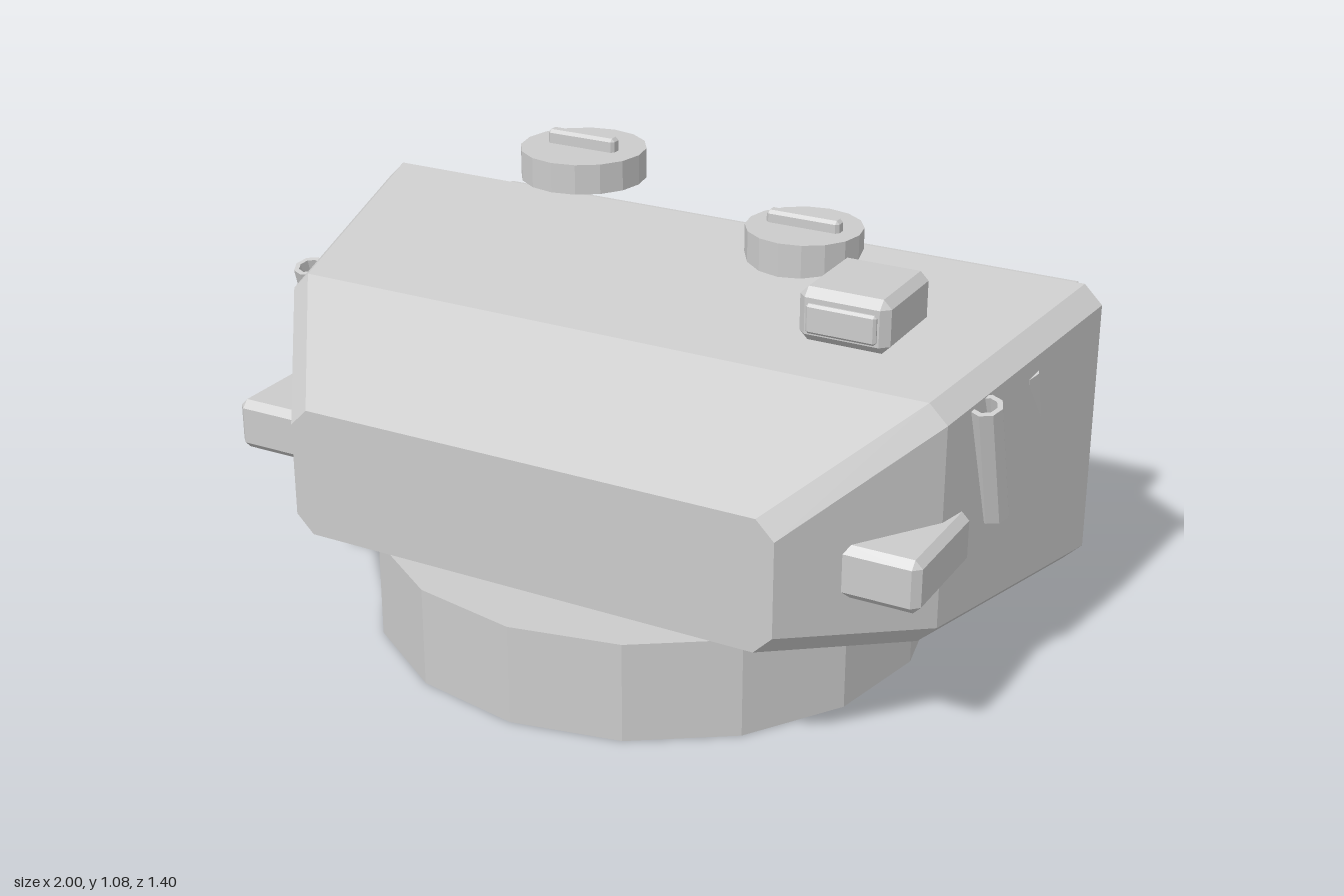
import * as THREE from 'three';
import { ConvexGeometry } from 'three/addons/geometries/ConvexGeometry.js';

const grey = new THREE.MeshStandardMaterial({ color: 0xcccccc, flatShading: true });
const greyOpen = new THREE.MeshStandardMaterial({ color: 0xcccccc, flatShading: true, side: THREE.DoubleSide });

function add(parent, name, geometry, x = 0, y = 0, z = 0, material = grey) {
  const mesh = new THREE.Mesh(geometry, material);
  mesh.name = name;
  mesh.position.set(x, y, z);
  parent.add(mesh);
  return mesh;
}

// Box with every edge cut by a single chamfer, given by its limits
function chamferBox(parent, name, [x0, x1], [y0, y1], [z0, z1], c) {
  const half = [(x1 - x0) / 2, (y1 - y0) / 2, (z1 - z0) / 2];
  const points = [];
  for (const sx of [-1, 1]) for (const sy of [-1, 1]) for (const sz of [-1, 1]) {
    for (let axis = 0; axis < 3; axis++) {
      const p = half.map((h, i) => (i === axis ? h : h - c));
      points.push(new THREE.Vector3(sx * p[0], sy * p[1], sz * p[2]));
    }
  }
  return add(parent, name, new ConvexGeometry(points), (x0 + x1) / 2, (y0 + y1) / 2, (z0 + z1) / 2);
}

// Hull lofted through eight-cornered sections, front to back
function hullGeometry() {
  const c = 0.045;
  const stations = [ // z, half width, bottom, top
    [0.63, 0.63, 0.31, 0.632],
    [0.28, 0.87, 0.23, 0.815],
    [-0.33, 1.0, 0.195, 0.91],
    [-0.7, 0.71, 0.25, 0.745],
  ];
  const positions = [];
  const index = [];
  for (const [z, w, lo, hi] of stations) {
    const ring = [
      [w, lo + c], [w, hi - c], [w - c, hi], [c - w, hi],
      [-w, hi - c], [-w, lo + c], [c - w, lo], [w - c, lo],
    ];
    for (const [x, y] of ring) positions.push(x, y, z);
  }
  for (let s = 0; s < stations.length - 1; s++) {
    for (let i = 0; i < 8; i++) {
      const j = (i + 1) % 8;
      const a = s * 8 + i, b = s * 8 + j;
      index.push(a, a + 8, b + 8, a, b + 8, b);
    }
  }
  const last = (stations.length - 1) * 8;
  for (let i = 1; i < 7; i++) {
    index.push(0, i, i + 1);
    index.push(last, last + i + 1, last + i);
  }
  const geometry = new THREE.BufferGeometry();
  geometry.setAttribute('position', new THREE.Float32BufferAttribute(positions, 3));
  geometry.setIndex(index);
  const flat = geometry.toNonIndexed();
  flat.computeVertexNormals();
  return flat;
}

// Round roof hatch with a bar handle
function addHatch(parent, name, x, z, radius, y0, y1, barTop) {
  const hatch = new THREE.Group();
  hatch.name = name;
  parent.add(hatch);
  add(hatch, 'hatchLid', new THREE.CylinderGeometry(radius, radius, y1 - y0, 16), x, (y0 + y1) / 2, z);
  chamferBox(hatch, 'hatchHandle', [x - 0.097, x + 0.097], [y1 - 0.015, barTop], [z - 0.018, z + 0.018], 0.008);
}

export function createModel() {
  const model = new THREE.Group();
  model.name = 'turret';

  add(model, 'turretRing', new THREE.CylinderGeometry(0.7, 0.7, 0.25, 16), 0, 0.125, 0);
  add(model, 'turretBody', hullGeometry());
  chamferBox(model, 'rearStowageBox', [-0.85, 0.85], [0.37, 0.78], [-0.695, -0.52], 0.022);

  addHatch(model, 'rightHatch', -0.39, -0.327, 0.162, 0.965, 1.042, 1.077);
  addHatch(model, 'leftHatch', 0.27, -0.255, 0.145, 0.875, 0.96, 0.99);

  // Sight housing with its front window
  chamferBox(model, 'sightHousing', [0.48, 0.7], [0.875, 1.002], [-0.015, 0.23], 0.02);
  chamferBox(model, 'sightWindow', [0.505, 0.675], [0.9, 0.97], [0.2, 0.24], 0.006);

  // Launcher tube: hollow at the upper end
  const tubeProfile = [[0, -0.155], [0.04, -0.155], [0.04, 0.155], [0.027, 0.155], [0.027, 0.1], [0, 0.1]]
    .map(([r, y]) => new THREE.Vector2(r, y));
  const tubeGeometry = new THREE.LatheGeometry(tubeProfile, 8);

  // Side fittings, mirrored
  for (const side of [-1, 1]) {
    const prefix = side > 0 ? 'left' : 'right';
    const xs = side > 0 ? [0.7, 0.905] : [-0.905, -0.7];
    chamferBox(model, prefix + 'SideBox', xs, [0.41, 0.538], [0.19, 0.49], 0.018);
    for (const [label, z] of [['Front', 0.12], ['Rear', -0.105]]) {
      const tube = add(model, prefix + label + 'LauncherTube', tubeGeometry, side * 0.91, 0.633, z, greyOpen);
      tube.rotation.x = 0.28;
    }
  }
  return model;
}
